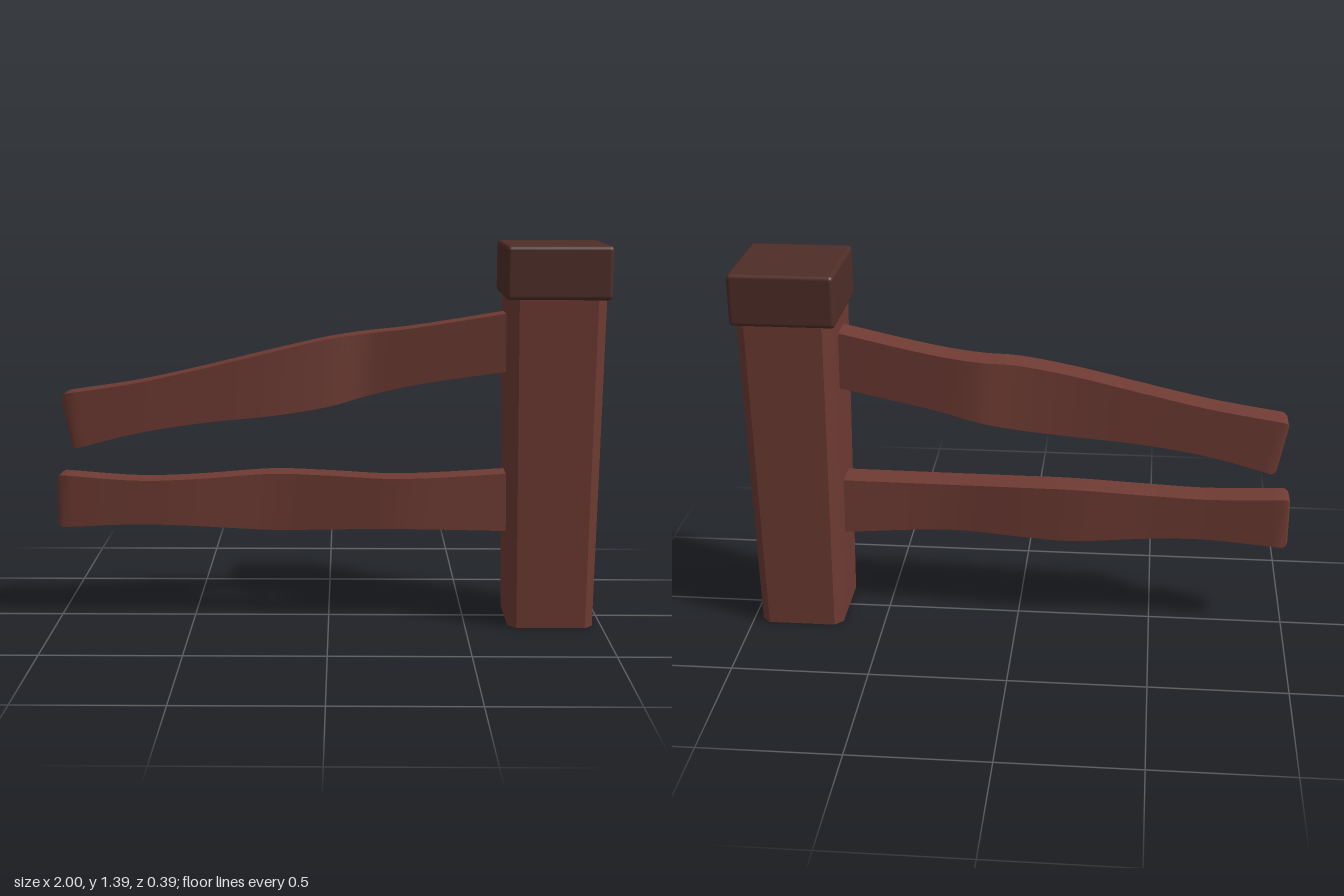
import * as THREE from 'three';
import { toCreasedNormals } from 'three/addons/utils/BufferGeometryUtils.js';
import { RoundedBoxGeometry } from 'three/addons/geometries/RoundedBoxGeometry.js';

const POST_X = 0.812;

function addMesh(group, name, geometry, material) {
  const mesh = new THREE.Mesh(geometry, material);
  mesh.name = name;
  group.add(mesh);
  return mesh;
}

// Warped plank: stations are [top x, top y, bottom x, bottom y, centre z]
function plankGeometry(stations, halfDepth) {
  const curve = (k) => new THREE.CatmullRomCurve3(
    stations.map((s) => new THREE.Vector3(s[k], s[k + 1], s[4])), false, 'centripetal');
  const top = curve(0), bottom = curve(2);
  // the first rings are inset to round off the free end
  const rings = [[0, 0.017], [0.0025, 0.007], [0.009, 0]];
  for (let i = 1; i <= 36; i++) rings.push([i / 36, 0]);

  const positions = [], index = [];
  for (const [t, inset] of rings) {
    const a = top.getPoint(t), b = bottom.getPoint(t), d = halfDepth - inset;
    const slide = a.clone().sub(b).normalize().multiplyScalar(inset);
    a.sub(slide);
    b.add(slide);
    positions.push(a.x, a.y, a.z + d, a.x, a.y, a.z - d, b.x, b.y, b.z - d, b.x, b.y, b.z + d);
  }
  const last = (rings.length - 1) * 4;
  for (let r = 0; r < last; r += 4) {
    for (let j = 0; j < 4; j++) {
      const k = (j + 1) % 4;
      index.push(r + j, r + 4 + j, r + 4 + k, r + j, r + 4 + k, r + k);
    }
  }
  index.push(0, 1, 2, 0, 2, 3, last, last + 2, last + 1, last, last + 3, last + 2);
  const geometry = new THREE.BufferGeometry();
  geometry.setAttribute('position', new THREE.Float32BufferAttribute(positions, 3));
  geometry.setIndex(index);
  return toCreasedNormals(geometry, 0.6);
}

// Chamfered square post that widens towards the top
function postGeometry(halfX, halfZ, chamfer, height, flare) {
  const cx = halfX - chamfer, cz = halfZ - chamfer;
  const outline = [[halfX, -cz], [halfX, cz], [cx, halfZ], [-cx, halfZ],
    [-halfX, cz], [-halfX, -cz], [-cx, -halfZ], [cx, -halfZ]];
  const shape = new THREE.Shape(outline.map(([x, y]) => new THREE.Vector2(x, y)));
  const geometry = new THREE.ExtrudeGeometry(shape, { depth: height, bevelEnabled: false });
  geometry.rotateX(-Math.PI / 2);
  const p = geometry.attributes.position;
  for (let i = 0; i < p.count; i++) {
    const s = 1 + (flare - 1) * p.getY(i) / height;
    p.setX(i, p.getX(i) * s);
    p.setZ(i, p.getZ(i) * s);
  }
  geometry.computeVertexNormals();
  return geometry;
}

export function createModel() {
  const group = new THREE.Group();
  group.name = 'fenceEnd';
  const wood = new THREE.MeshStandardMaterial({ color: 0x6f3b33 });
  const darkWood = new THREE.MeshStandardMaterial({ color: 0x4f2d27 });

  // Post and its cap
  addMesh(group, 'post', postGeometry(0.155, 0.163, 0.03, 1.22, 1.115), wood)
    .position.x = POST_X;
  addMesh(group, 'postCap', new RoundedBoxGeometry(0.375, 0.19, 0.387, 3, 0.015), darkWood)
    .position.set(POST_X, 1.295, 0);

  // Sloping upper rail, bowed backwards near the middle
  addMesh(group, 'upperRail', plankGeometry([
    [-0.98, 0.842, -0.94, 0.638, -0.003],
    [-0.7, 0.885, -0.7, 0.7, 0.003],
    [-0.45, 0.94, -0.45, 0.74, 0.003],
    [-0.2, 1.0, -0.2, 0.765, -0.004],
    [0, 1.043, 0, 0.795, -0.027],
    [0.13, 1.06, 0.13, 0.828, -0.054],
    [0.3, 1.08, 0.3, 0.87, -0.045],
    [0.65, 1.14, 0.65, 0.928, -0.008],
    [0.74, 1.155, 0.74, 0.943, 0],
  ], 0.053), wood);

  // Level lower rail, bowed gently forwards
  addMesh(group, 'lowerRail', plankGeometry([
    [-1, 0.543, -1, 0.345, -0.005],
    [-0.7, 0.525, -0.7, 0.361, 0.01],
    [-0.5, 0.531, -0.5, 0.356, 0.012],
    [-0.2, 0.55, -0.2, 0.339, 0],
    [0, 0.546, 0, 0.344, 0.012],
    [0.25, 0.538, 0.25, 0.351, 0.032],
    [0.65, 0.553, 0.65, 0.338, 0.006],
    [0.74, 0.557, 0.74, 0.335, 0],
  ], 0.053), wood);

  return group;
}
